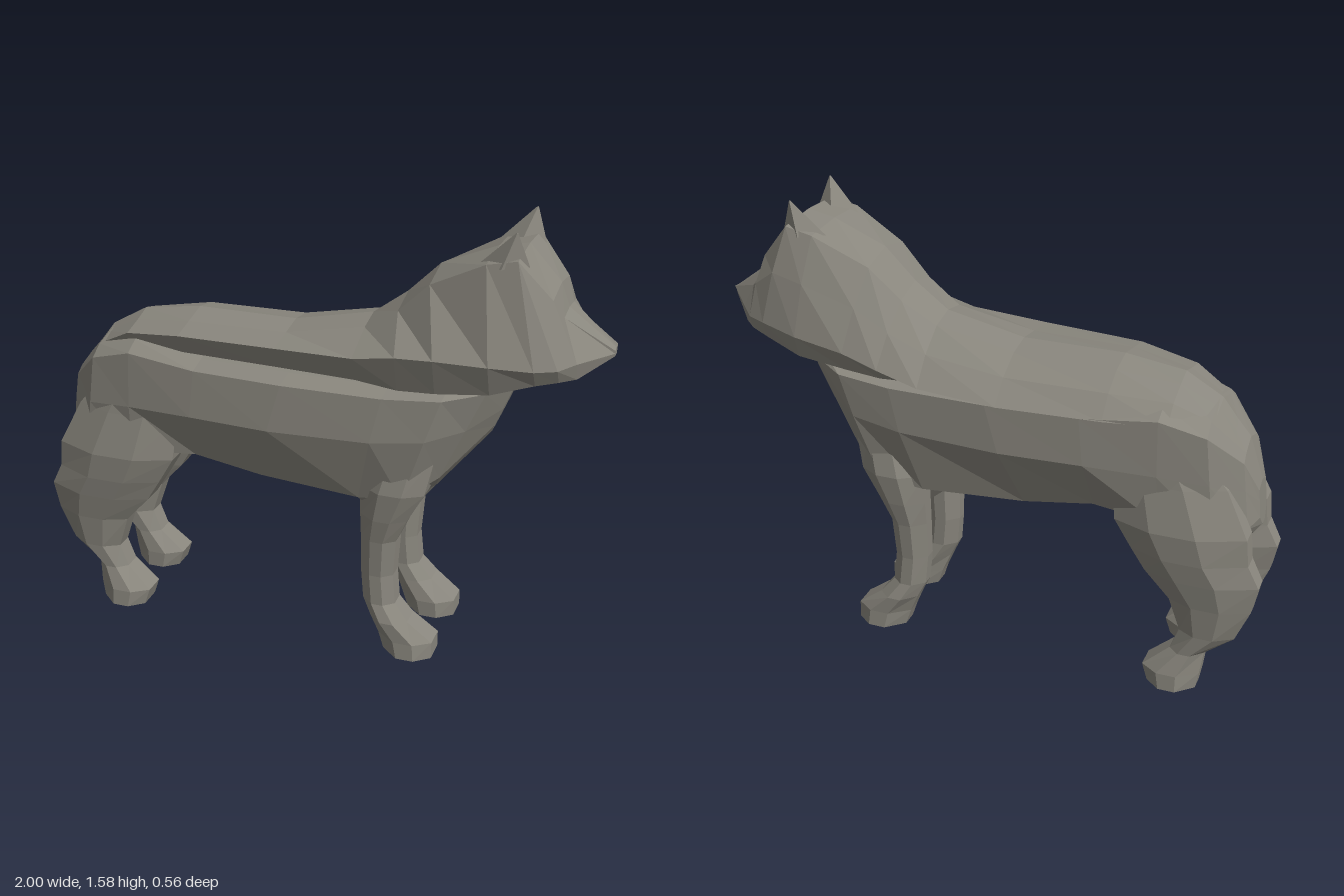
import * as THREE from 'three';

// Skins a list of equal-length rings and caps both ends.
function loft(rings) {
  const n = rings[0].length, pos = rings.flat(2), idx = [];
  for (let i = 0; i < rings.length - 1; i++)
    for (let j = 0; j < n; j++) {
      const k = (j + 1) % n, a = i * n + j, b = i * n + k;
      idx.push(a, b, b + n, a, b + n, a + n);
    }
  const e = (rings.length - 1) * n;
  for (let j = 1; j < n - 1; j++) idx.push(0, j + 1, j, e, e + j, e + j + 1);
  const g = new THREE.BufferGeometry();
  g.setAttribute('position', new THREE.Float32BufferAttribute(pos, 3));
  g.setIndex(idx);
  const flat = g.toNonIndexed();
  flat.computeVertexNormals();
  return flat;
}

// Trunk section: top, lip, middle, low edge and bottom heights, half widths at middle and low edge.
function trunkRing([xTop, xBot, top, lip, mid, low, bot, w, lw]) {
  const p = (y, z) => [xBot + (xTop - xBot) * (y - bot) / (top - bot), y, z];
  const inner = (top + lip) / 2, keel = Math.min(0.06, lw * 0.35);
  return [
    p(top, 0), p(inner, w * 0.7), p(lip, w * 0.96), p(mid, w), p(low, lw), p(bot, keel),
    p(bot, -keel), p(low, -lw), p(mid, -w), p(lip, -w), p(inner, -w * 0.7),
  ];
}

// Mantle section: back, shoulder, overhanging left lip and flush, rounded right flank.
function mantleRing([x, top, sy, sw, ly, lw, under, ry, rw, shear]) {
  const xl = x + shear;
  return [
    [x, top, 0], [x, sy, sw], [xl, ly, lw], [xl, under, lw * 0.84],
    [xl, under, 0], [xl, under, -rw * 0.9], [xl, ry, -rw],
    [x + shear / 2, (sy + ry) / 2 + 0.012, -(sw + rw) / 2 - 0.01], [x, sy, -sw],
  ];
}

// Eight-sided horizontal leg section, narrower behind: y then x and z ranges.
function legRing([y, x0, x1, z0, z1], side) {
  const cx = (x0 + x1) / 2, rx = (x1 - x0) / 2, cz = side * (z0 + z1) / 2, rz = (z1 - z0) / 2;
  return [[1, -0.5], [1, 0.5], [0.4, 1], [-0.3, 1], [-1, 0.35], [-1, -0.35], [-0.3, -1], [0.4, -1]]
    .map(([u, v]) => [cx + u * rx, y, cz + v * rz]);
}

// Four-sided ear section.
const earRing = (x, y, z, rx, rz) => [[x + rx, y, z], [x, y, z + rz], [x - rx, y, z], [x, y, z - rz]];

export function createModel() {
  const model = new THREE.Group();
  const fur = new THREE.MeshStandardMaterial({ color: 0x89867d });
  fur.name = 'greyFur';
  fur.flatShading = true;
  const add = (name, geometry) => {
    const m = new THREE.Mesh(geometry, fur);
    m.name = name;
    model.add(m);
  };

  // Trunk from rump to wedge-shaped chest
  add('trunk', loft([
    [-0.95, -0.965, 0.76, 0.74, 0.7, 0.64, 0.6, 0.05, 0.05],
    [-0.9, -0.94, 0.91, 0.86, 0.76, 0.62, 0.57, 0.11, 0.11],
    [-0.79, -0.84, 1.04, 0.97, 0.8, 0.62, 0.56, 0.195, 0.19],
    [-0.64, -0.65, 1.08, 1.02, 0.82, 0.64, 0.58, 0.23, 0.21],
    [-0.38, -0.42, 1.04, 1.0, 0.83, 0.65, 0.62, 0.26, 0.18],
    [-0.05, -0.18, 1.04, 1.0, 0.83, 0.61, 0.57, 0.278, 0.18],
    [0.3, 0.18, 1.04, 1.0, 0.84, 0.6, 0.52, 0.272, 0.21],
    [0.5, 0.29, 1.05, 1.01, 0.86, 0.62, 0.43, 0.25, 0.22],
    [0.65, 0.43, 1.1, 1.02, 0.88, 0.69, 0.61, 0.16, 0.15],
    [0.72, 0.61, 1.1, 1.04, 0.94, 0.87, 0.83, 0.07, 0.06],
  ].map(trunkRing)));

  // Back, neck and head in one mantle
  add('backAndHead', loft([
    [-0.88, 0.93, 0.92, 0.04, 0.9, 0.07, 0.86, 0.88, 0.1, 0],
    [-0.8, 1.035, 1.02, 0.05, 1.0, 0.12, 0.94, 0.95, 0.18, 0],
    [-0.67, 1.11, 1.09, 0.07, 1.07, 0.16, 1.02, 1.0, 0.22, 0],
    [-0.46, 1.14, 1.12, 0.1, 1.1, 0.2, 1.03, 1.0, 0.255, 0],
    [-0.1, 1.14, 1.125, 0.1, 1.11, 0.22, 1.03, 1.0, 0.28, 0],
    [0.18, 1.2, 1.18, 0.1, 1.12, 0.24, 1.03, 1.02, 0.28, 0],
    [0.3, 1.29, 1.26, 0.12, 1.15, 0.26, 1.02, 1.06, 0.275, 0.03],
    [0.41, 1.4, 1.37, 0.14, 1.16, 0.27, 1.03, 1.1, 0.27, 0.05],
    [0.6, 1.48, 1.47, 0.175, 1.16, 0.265, 1.05, 1.13, 0.265, 0.04],
    [0.7, 1.5, 1.49, 0.17, 1.15, 0.23, 1.09, 1.15, 0.23, 0.08],
    [0.81, 1.38, 1.36, 0.13, 1.15, 0.195, 1.1, 1.15, 0.195, 0.04],
    [0.84, 1.3, 1.29, 0.08, 1.16, 0.14, 1.1, 1.16, 0.14, 0.06],
    [1.0, 1.18, 1.175, 0.02, 1.165, 0.02, 1.155, 1.165, 0.02, 0],
  ].map(mantleRing)));

  const foreLeg = [
    [0.78, 0.24, 0.46, 0.08, 0.22], [0.64, 0.2, 0.43, 0.08, 0.245], [0.53, 0.2, 0.37, 0.09, 0.235],
    [0.44, 0.2, 0.33, 0.09, 0.22], [0.3, 0.2, 0.32, 0.09, 0.21], [0.19, 0.21, 0.33, 0.09, 0.215],
    [0.13, 0.24, 0.38, 0.08, 0.235], [0.06, 0.27, 0.47, 0.065, 0.235], [0, 0.29, 0.47, 0.065, 0.24],
  ];
  const hindLeg = [
    [0.92, -0.75, -0.5, 0.06, 0.2], [0.78, -0.87, -0.48, 0.05, 0.22], [0.62, -0.95, -0.5, 0.05, 0.25],
    [0.52, -0.96, -0.56, 0.05, 0.245], [0.44, -1, -0.61, 0.06, 0.235],
    [0.34, -0.98, -0.7, 0.08, 0.22], [0.22, -0.93, -0.74, 0.08, 0.21], [0.14, -0.83, -0.71, 0.08, 0.21],
    [0.06, -0.82, -0.62, 0.07, 0.235], [0, -0.81, -0.64, 0.07, 0.24],
  ];
  for (const [side, label] of [[1, 'Left'], [-1, 'Right']]) {
    // Legs with paws
    add('foreLeg' + label, loft(foreLeg.map(r => legRing(r, side))));
    add('hindLeg' + label, loft(hindLeg.map(r => legRing(r, side))));
    // Pointed ears
    add('ear' + label, loft([
      earRing(0.688, 1.575, side * 0.15, 0.003, 0.003),
      earRing(0.65, 1.46, side * 0.127, 0.08, 0.055),
    ]));
  }
  return model;
}
